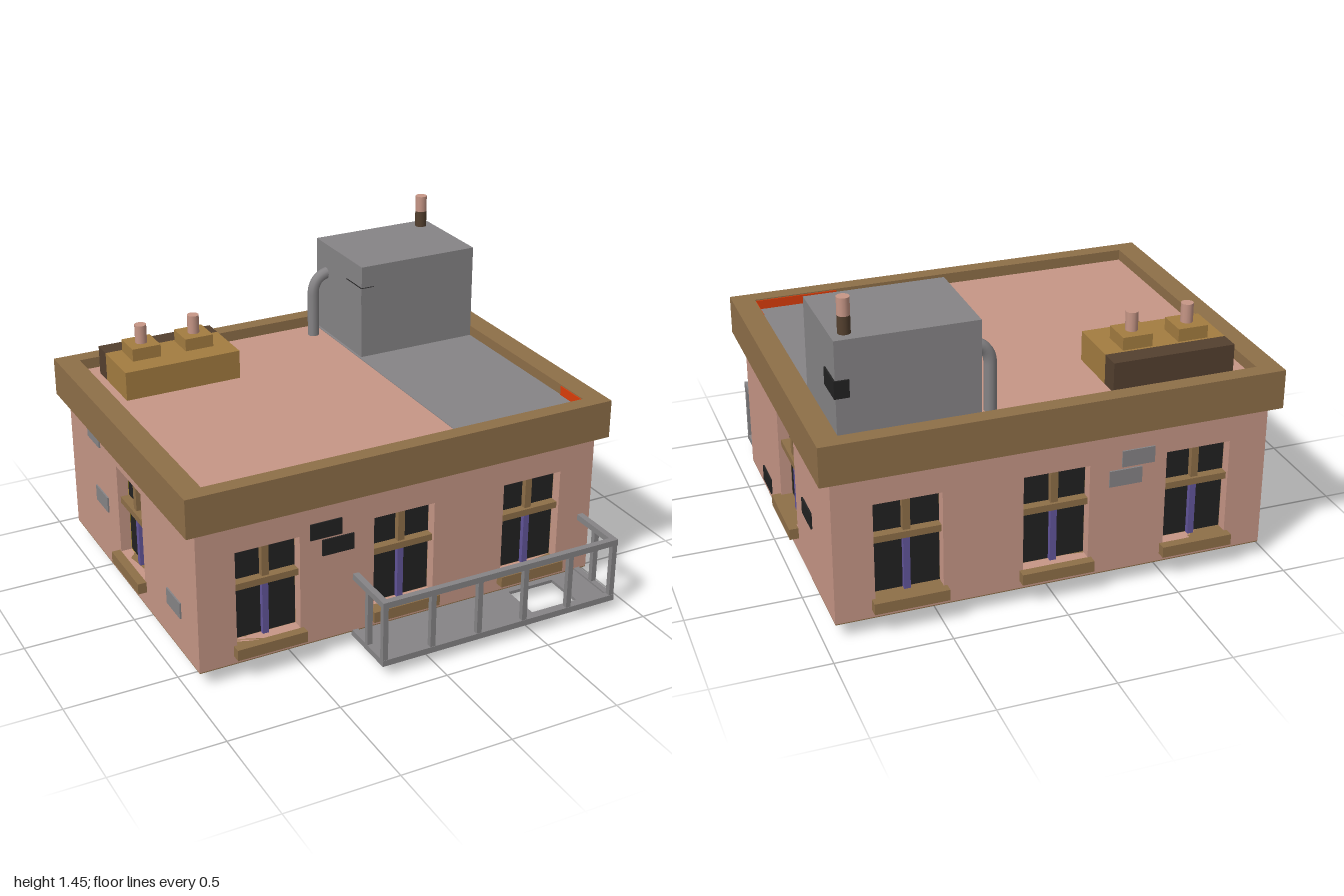
import * as THREE from 'three';

const mat = (name, color) => {
  const m = new THREE.MeshStandardMaterial({ color });
  m.name = name;
  return m;
};

export function createModel() {
  const pink = mat('pink plaster', 0xc69686);
  const brown = mat('brown trim', 0x8e6f48);
  const gold = mat('golden brick', 0xa37c40);
  const grey = mat('grey concrete', 0x868486);
  const black = mat('near black', 0x222222);
  const umber = mat('dark brown', 0x54402f);
  const orange = mat('orange red', 0xdb3d0a);
  const yellow = mat('yellow paint', 0xcfb122);
  const purple = mat('purple frame', 0x62559a);

  const model = new THREE.Group();
  const ZC = -0.115; // middle of the house in z

  const add = (parent, name, geo, material) => {
    const m = new THREE.Mesh(geo, material);
    m.name = name;
    parent.add(m);
    return m;
  };
  // box given by its lower and upper limits
  const box = (parent, name, x0, x1, y0, y1, z0, z1, material) => {
    const m = add(parent, name, new THREE.BoxGeometry(x1 - x0, y1 - y0, z1 - z0), material);
    m.position.set((x0 + x1) / 2, (y0 + y1) / 2, (z0 + z1) / 2);
    return m;
  };
  const rect = (P, x0, x1, y0, y1) =>
    new P([[x0, y0], [x1, y0], [x1, y1], [x0, y1]].map(p => new THREE.Vector2(...p)));

  // window in a wall whose outer face is z = 0, facing +z
  const addWindow = (parent, cx, y0, y1) => {
    const w = new THREE.Group();
    w.name = 'window';
    w.position.x = cx;
    parent.add(w);
    const bar = y0 + (y1 - y0) * 0.61;
    box(w, 'glass', -0.145, 0.145, y0, y1, -0.06, -0.052, black);
    box(w, 'crossBar', -0.143, 0.143, bar - 0.015, bar + 0.015, -0.08, -0.012, brown);
    box(w, 'upperMullion', -0.016, 0.016, bar, y1, -0.075, -0.025, brown);
    box(w, 'lowerMullion', -0.014, 0.014, y0, bar, -0.073, -0.03, purple);
    box(w, 'sill', -0.16, 0.16, y0 - 0.05, y0, -0.16, 0.04,
      [brown, brown, brown, orange, brown, brown]);
  };

  // wall of two layers with window holes: plaster outside, paint inside
  const addWall = (name, x, z, turn, wOut, wIn, windows, y0, y1, thick, inner) => {
    const g = new THREE.Group();
    g.name = name;
    g.position.set(x, 0, z);
    g.rotation.y = turn;
    model.add(g);
    const layer = (part, w, depth, back, material) => {
      const s = rect(THREE.Shape, -w / 2, w / 2, 0.075, 0.74);
      windows.forEach(c => s.holes.push(rect(THREE.Path, c - 0.145, c + 0.145, y0, y1)));
      add(g, part, new THREE.ExtrudeGeometry(s, { depth, bevelEnabled: false }), material)
        .position.z = back;
    };
    layer('outerLayer', wOut, 0.05, -0.05, pink);
    layer('innerLayer', wIn, thick - 0.05, -thick, inner);
    windows.forEach(c => addWindow(g, c, y0, y1));
    return g;
  };
  const brick = (wall, cx, cy, material) =>
    box(wall, 'exposedBrick', cx - 0.073, cx + 0.073, cy - 0.037, cy + 0.037, -0.002, 0.007, material);

  const three = [-0.635, 0, 0.635];
  const front = addWall('frontWall', 0, 0.62, 0, 1.9, 1.8, three, 0.16, 0.595, 0.11, brown);
  const back = addWall('backWall', 0, -0.85, Math.PI, 1.9, 1.8, three, 0.16, 0.595, 0.11, brown);
  const right = addWall('rightWall', 0.95, ZC, Math.PI / 2, 1.37, 1.25, [0], 0.2, 0.625, 0.13, brown);
  const left = addWall('leftWall', -0.95, ZC, -Math.PI / 2, 1.37, 1.25, [0], 0.2, 0.625, 0.13, yellow);
  brick(front, -0.37, 0.602, black);
  brick(front, -0.315, 0.517, black);
  brick(back, 0.36, 0.602, grey);
  brick(back, 0.305, 0.517, grey);
  [[-0.53, 0.672], [-0.46, 0.378], [0.29, 0.142]].forEach(([z, y]) => brick(right, ZC - z, y, black));
  [[-0.53, 0.665], [-0.46, 0.373], [0.37, 0.275]].forEach(([z, y]) => brick(left, z - ZC, y, grey));

  // flat rectangular ring
  const ring = (name, hx, hz, ix, iz, y0, y1, material) => {
    const s = rect(THREE.Shape, -hx, hx, -hz, hz);
    s.holes.push(rect(THREE.Path, -ix, ix, -iz, iz));
    const geo = new THREE.ExtrudeGeometry(s, { depth: y1 - y0, bevelEnabled: false });
    geo.rotateX(-Math.PI / 2);
    add(model, name, geo, material).position.set(0, y0, ZC);
  };
  ring('wallFoot', 0.949, 0.734, 0.82, 0.625, 0.07, 0.076, brown);
  ring('parapet', 1, 0.772, 0.9, 0.7, 0.73, 0.905, brown);

  // roof and ceiling
  box(model, 'roof', -0.902, 0.902, 0.745, 0.855, -0.817, 0.587, pink);
  box(model, 'roofPatch', 0.3, 0.9, 0.853, 0.858, -0.815, 0.585, grey);
  box(model, 'ceiling', -0.902, 0.902, 0.725, 0.745, -0.817, 0.587, brown);
  box(model, 'frontFlashing', 0.52, 0.9, 0.858, 0.9, 0.58, 0.586, orange);
  box(model, 'sideFlashing', 0.896, 0.902, 0.858, 0.9, 0.42, 0.58, orange);

  // inner partitions
  for (const s of [-1, 1]) {
    const x0 = s * 0.285 - 0.022, x1 = s * 0.285 + 0.022;
    box(model, 'partition', x0, x1, 0, 0.73, -0.74, 0.4, brown);
    box(model, 'partitionPier', x0, x1, 0, 0.73, 0.4, 0.5, grey);
    box(model, 'partitionEnd', x0, x1, 0, 0.73, 0.5, 0.51, orange);
    const a = s * 0.307, b = s * 0.815;
    box(model, 'crossPartition', Math.min(a, b), Math.max(a, b), 0, 0.73, -0.135, -0.085, brown);
  }

  // balcony with a hole in its floor
  const balcony = new THREE.Group();
  balcony.name = 'balcony';
  model.add(balcony);
  const deck = rect(THREE.Shape, -0.24, 0.91, -0.885, -0.615);
  deck.holes.push(rect(THREE.Path, 0.52, 0.75, -0.84, -0.65));
  const deckGeo = new THREE.ExtrudeGeometry(deck, { depth: 0.015, bevelEnabled: false });
  deckGeo.rotateX(-Math.PI / 2);
  add(balcony, 'balconyFloor', deckGeo, grey).position.y = 0.055;
  for (const y of [0.05, 0.327]) {
    box(balcony, 'frontRail', -0.245, 0.915, y, y + 0.028, 0.862, 0.89, grey);
    for (const x of [-0.245, 0.887])
      box(balcony, 'sideRail', x, x + 0.028, y, y + 0.028, 0.61, 0.865, grey);
  }
  for (let i = 0; i < 6; i++) {
    const x = -0.232 + i * 0.2268;
    box(balcony, 'railPost', x - 0.012, x + 0.012, 0.06, 0.34, 0.864, 0.888, grey);
  }
  for (const x of [-0.232, 0.902])
    box(balcony, 'sidePost', x - 0.012, x + 0.012, 0.06, 0.34, 0.73, 0.753, grey);

  // rooftop hut with its flue and bricks
  box(model, 'roofHut', 0.31, 0.9, 0.85, 1.3, -0.81, -0.355, grey);
  box(model, 'hutCornerBrick', 0.303, 0.37, 1.122, 1.2, -0.5, -0.346,
    [black, grey, black, black, grey, grey]);
  box(model, 'hutBackBrick', 0.845, 0.907, 1.06, 1.135, -0.817, -0.67, black);
  const tube = (name, x, z, y0, y1, r, material) =>
    add(model, name, new THREE.CylinderGeometry(r, r, y1 - y0, 12), material)
      .position.set(x, (y0 + y1) / 2, z);
  tube('flueBase', 0.84, -0.745, 1.29, 1.375, 0.027, umber);
  tube('flueTop', 0.84, -0.745, 1.375, 1.45, 0.027, pink);

  // bent pipe from the roof into the hut
  const path = new THREE.CurvePath();
  const v = (x, y) => new THREE.Vector3(x, y, -0.713);
  path.add(new THREE.LineCurve3(v(0.24, 0.85), v(0.24, 1.06)));
  path.add(new THREE.CubicBezierCurve3(v(0.24, 1.06), v(0.24, 1.12), v(0.27, 1.155), v(0.33, 1.16)));
  add(model, 'bentPipe', new THREE.TubeGeometry(path, 24, 0.027, 10), grey);

  // chimney stack with two pots
  box(model, 'chimneyStack', -0.83, -0.285, 0.85, 0.988, -0.655, -0.405, gold);
  box(model, 'chimneyBack', -0.83, -0.285, 0.85, 0.988, -0.745, -0.655, umber);
  for (const x of [-0.688, -0.435]) {
    box(model, 'chimneyCap', x - 0.067, x + 0.067, 0.985, 1.045, -0.643, -0.508, gold);
    tube('chimneyPot', x, -0.575, 1.04, 1.13, 0.027, pink);
  }
  return model;
}
